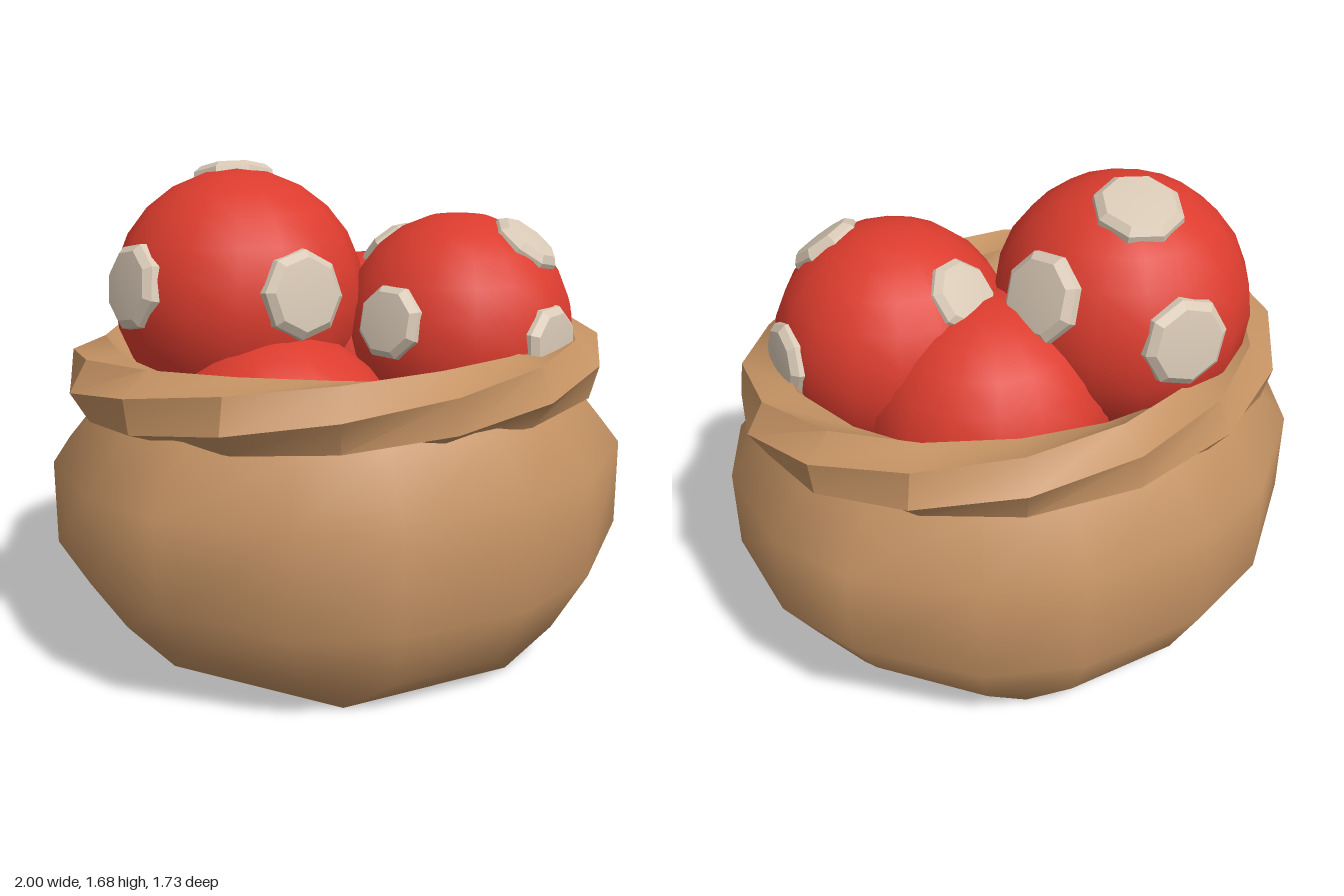
import * as THREE from 'three';
import { mergeVertices, toCreasedNormals } from 'three/addons/utils/BufferGeometryUtils.js';

const DEG = Math.PI / 180;

const mat = (name, color) => {
  const m = new THREE.MeshStandardMaterial({ color });
  m.name = name;
  return m;
};

// Skin rows of points that each run once around the y axis
function skin(rows, cols, point) {
  const positions = [], index = [];
  for (let r = 0; r < rows; r++)
    for (let c = 0; c < cols; c++) positions.push(...point(r, c));
  for (let r = 0; r < rows - 1; r++)
    for (let c = 0; c < cols; c++) {
      const n = (c + 1) % cols;
      const a = r * cols + c, b = r * cols + n;
      index.push(a, a + cols, b, b, a + cols, b + cols);
    }
  const g = new THREE.BufferGeometry();
  g.setAttribute('position', new THREE.Float32BufferAttribute(positions, 3));
  g.setIndex(index);
  const merged = mergeVertices(g, 1e-4);
  merged.computeVertexNormals();
  return merged;
}

// Rings are octagons with corners cut by the angle d: [rx, rz, y at front, y at sides, d]
function ringSkin(rings) {
  return skin(rings.length, 16, (r, c) => {
    const [rx, rz, yFront, ySide, d] = rings[r];
    const t = (22.5 + 45 * Math.floor(c / 2) + (c % 2 ? d : -d)) * DEG;
    const f = THREE.MathUtils.clamp((Math.cos(t) ** 2 - 0.15) / 0.7, 0, 1);
    return [rx * Math.cos(t), yFront + (ySide - yFront) * f, rz * Math.sin(t)];
  });
}

export function createModel() {
  const cloth = mat('brown cloth', 0xc49263);
  const red = mat('red', 0xdc3c2e);
  const cream = mat('cream', 0xd8c8b5);
  const model = new THREE.Group();
  const add = (parent, name, geometry, material) => {
    const m = new THREE.Mesh(geometry, material);
    m.name = name;
    parent.add(m);
    return m;
  };

  // Sack body, base rising slightly toward the sides
  add(model, 'sackBody', ringSkin([
    [0, 0, 0, 0, 0],
    [0.81, 0.68, 0, 0.08, 0],
    [0.9, 0.77, 0.11, 0.21, 9.5],
    [1.025, 0.89, 0.33, 0.4, 9.5],
    [1.025, 0.89, 0.69, 0.69, 9.5],
    [0.87, 0.73, 0.88, 0.88, 9.5],
    [0.84, 0.69, 0.98, 0.98, 9.5],
  ]), cloth);

  // Inside wall and floor
  add(model, 'sackInside', toCreasedNormals(ringSkin([
    [0.81, 0.65, 0.98, 0.98, 9.5],
    [0.81, 0.65, 0.74, 0.74, 9.5],
    [0, 0, 0.72, 0.72, 0],
  ]), 0.6), cloth);

  // Rolled rim: a hexagonal band that twists once around the mouth
  const rim = skin(7, 16, (r, c) => {
    const t = c * 22.5 * DEG, phi = r * 60 * DEG - t;
    const out = 0.12 * Math.cos(phi);
    return [(0.86 + out) * Math.cos(t), 0.98 + 0.12 * Math.sin(phi), (0.69 + out) * Math.sin(t)];
  });
  add(model, 'twistedRim', toCreasedNormals(rim, 0.5), cloth);

  // Balls, each with the directions of its raised spots
  const balls = [
    { name: 'upperBall', at: [-0.31, 1.21, -0.19], r: 0.44, spot: 0.152, dirs: [
      [0.06, 0.07, 0.43], [0.04, 0.4, -0.13], [0.4, 0.17, -0.11],
      [-0.43, 0.08, 0.08], [0.04, 0.06, -0.44]] },
    { name: 'sideBall', at: [0.38, 1.09, 0.15], r: 0.41, spot: 0.13, dirs: [
      [0.16, 0.32, 0.18], [0.14, 0.01, 0.38], [0.41, 0.03, 0],
      [-0.38, 0.09, 0.16], [-0.13, 0.27, -0.29]] },
    { name: 'backBall', at: [0.2, 0.91, -0.17], r: 0.42, dirs: [] },
    { name: 'frontBall', at: [-0.3, 0.72, 0.14], r: 0.42, dirs: [] },
  ];
  const up = new THREE.Vector3(0, 1, 0);
  for (const { name, at, r, spot, dirs } of balls) {
    const ball = new THREE.Group();
    ball.name = name;
    ball.position.set(...at);
    model.add(ball);
    add(ball, name + 'Skin', new THREE.SphereGeometry(r, 16, 12), red);
    if (!dirs.length) continue;
    // Eight-sided bevelled spot with a gently domed face
    const profile = [
      [spot, r - 0.05], [spot * 0.97, r - 0.01], [spot * 0.8, r + 0.012], [0, r + 0.022],
    ].map(([x, y]) => new THREE.Vector2(x, y));
    const spotGeometry = toCreasedNormals(new THREE.LatheGeometry(profile, 8), 0.4);
    for (const d of dirs) {
      const s = add(ball, 'spot', spotGeometry, cream);
      s.quaternion.setFromUnitVectors(up, new THREE.Vector3(...d).normalize());
    }
  }
  return model;
}
